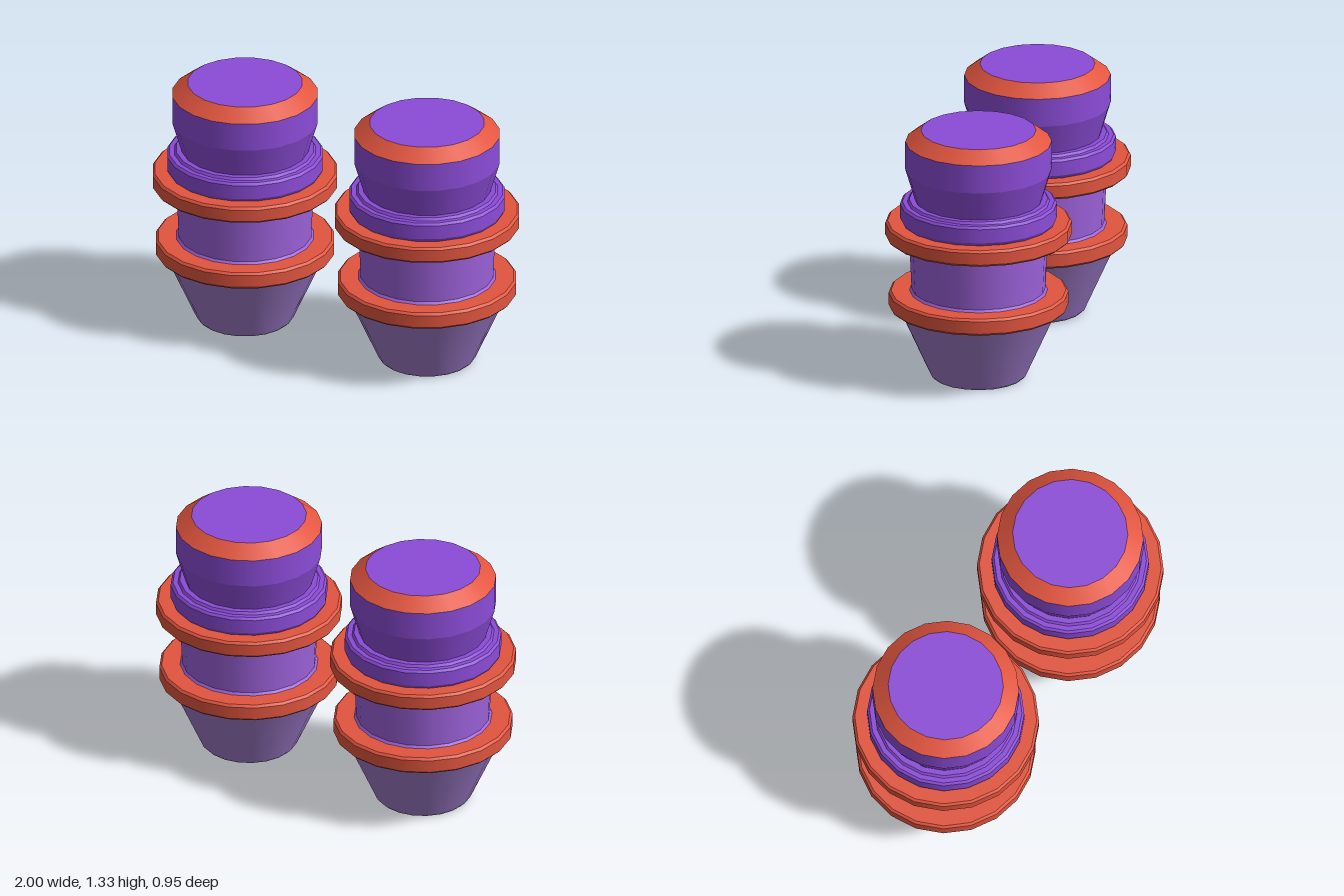
import * as THREE from 'three';
import { mergeGeometries } from 'three/addons/utils/BufferGeometryUtils.js';

const SIDES = 20;

function paint(name, color) {
  const m = new THREE.MeshStandardMaterial({ color });
  m.name = name;
  return m;
}

// Lathe that is smooth around the axis but creased at every profile point
function turned(name, material, profile) {
  const bands = [];
  for (let i = 0; i < profile.length - 1; i++) {
    const pts = [profile[i], profile[i + 1]].map(([r, y]) => new THREE.Vector2(r, y));
    bands.push(new THREE.LatheGeometry(pts, SIDES));
  }
  const mesh = new THREE.Mesh(mergeGeometries(bands), material);
  mesh.name = name;
  return mesh;
}

// Flat ring with small bevels on its outer edges
function ring(name, material, inner, outer, y0, y1) {
  const b = 0.012;
  return turned(name, material, [
    [inner, y0], [outer - b, y0], [outer, y0 + b], [outer, y1 - b], [outer - b, y1], [inner, y1],
  ]);
}

export function createModel() {
  const red = paint('red', 0xe2553f);
  const mauve = paint('mauve', 0x9d7ac8);
  const violet = paint('violet', 0x9c62da);
  const purple = paint('purple', 0x8c4cd8);

  const model = new THREE.Group();
  model.name = 'twinThrusters';

  for (const side of [-1, 1]) {
    const unit = new THREE.Group();
    unit.name = side > 0 ? 'leftThruster' : 'rightThruster';
    unit.position.x = side * 0.5225;

    unit.add(
      // Hollow nozzle
      turned('nozzleInside', red, [[0, 0.36], [0.385, 0.36], [0.22, 0.004]]),
      turned('nozzle', mauve, [[0.22, 0.004], [0.225, 0], [0.235, 0], [0.25, 0.015], [0.405, 0.36], [0.41, 0.38]]),
      ring('lowerRing', red, 0.3, 0.46, 0.373, 0.463),
      // Waist between the rings
      turned('waist', violet, [[0.355, 0.462], [0.343, 0.475], [0.355, 0.738], [0.362, 0.742], [0.362, 0.757]]),
      ring('upperRing', red, 0.3, 0.4775, 0.755, 0.842),
      // Stepped collar
      turned('collar', purple, [
        [0.392, 0.84], [0.402, 0.858], [0.402, 0.933], [0.39, 0.945], [0.365, 0.945], [0.355, 0.958], [0.3, 0.958],
      ]),
      // Head with bevelled red edge and flat lid
      turned('head', purple, [[0.326, 0.955], [0.375, 1.12], [0.375, 1.27]]),
      turned('headBevel', red, [[0.375, 1.27], [0.295, 1.33]]),
      turned('headLid', purple, [[0.295, 1.33], [0, 1.33]]),
    );
    model.add(unit);
  }
  return model;
}
